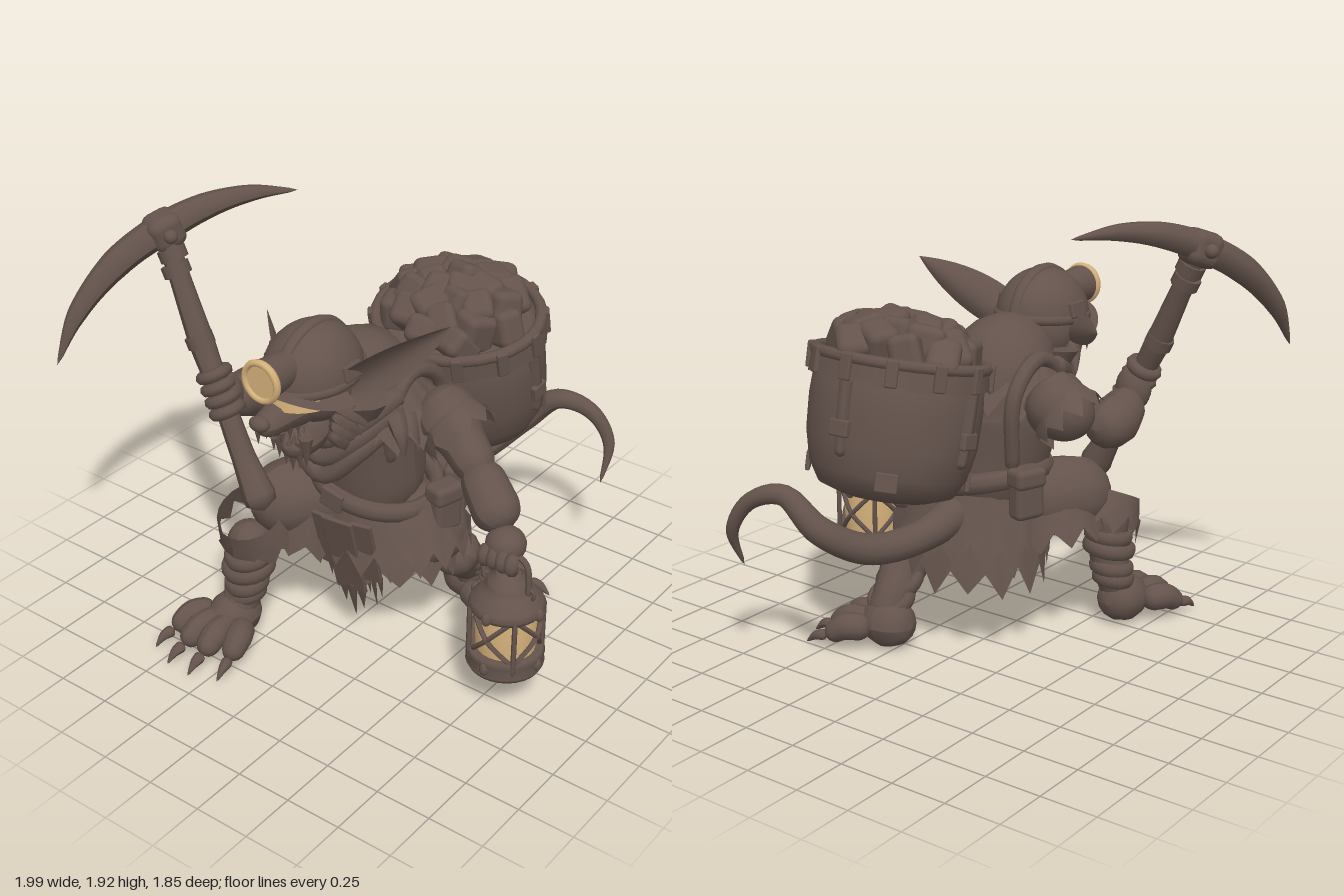
import * as THREE from 'three';
import { RoundedBoxGeometry } from 'three/addons/geometries/RoundedBoxGeometry.js';

const brown = new THREE.MeshStandardMaterial({ color: 0x64534c, side: THREE.DoubleSide });
brown.name = 'dark brown';
const tan = new THREE.MeshStandardMaterial({ color: 0xd4b07a, side: THREE.DoubleSide });
tan.name = 'lamp tan';

let seed = 7;
const rnd = () => (seed = (seed * 16807) % 2147483647) / 2147483647;
const V = (x, y, z) => new THREE.Vector3(x, y, z);

function add(parent, name, geo, pos = [0, 0, 0], rot = [0, 0, 0], scale = [1, 1, 1], mat = brown) {
  const m = new THREE.Mesh(geo, mat);
  m.name = name;
  m.position.set(...pos); m.rotation.set(...rot); m.scale.set(...scale);
  parent.add(m);
  return m;
}
const ball = (p, name, pos, scale) => add(p, name, new THREE.SphereGeometry(1, 20, 14), pos, [0, 0, 0], scale);
const block = (w, h, d) => new RoundedBoxGeometry(w, h, d, 2, Math.min(w, h, d) * 0.3);

// Smooth round-ended limb through points [x, y, z, radius]
function limb(parent, name, pts, sides = 12, seg = 28) {
  const curve = new THREE.CatmullRomCurve3(pts.map(p => V(p[0], p[1], p[2])));
  const geo = new THREE.TubeGeometry(curve, seg, 1, sides), a = geo.attributes.position;
  const len = curve.getLength(), n = pts.length - 1, v = V();
  for (let i = 0; i <= seg; i++) {
    const u = i / seg, c = curve.getPointAt(u), t = curve.getUtoTmapping(u) * n;
    const k = Math.min(n - 1, Math.floor(t));
    let r = THREE.MathUtils.lerp(pts[k][3], pts[k + 1][3], t - k);
    const d = Math.min(u, 1 - u) * len / r;
    if (d < 1) r *= Math.sqrt(Math.max(0, 1 - (1 - d) ** 2));
    for (let j = 0; j <= sides; j++) {
      const q = i * (sides + 1) + j;
      v.fromBufferAttribute(a, q).sub(c).multiplyScalar(r).add(c);
      a.setXYZ(q, v.x, v.y, v.z);
    }
  }
  geo.computeVertexNormals();
  return add(parent, name, geo);
}

// Open cloth ring with a torn lower edge
function ragged(parent, name, rTop, rBot, h, sides, jag, pos, rot, scale) {
  const geo = new THREE.CylinderGeometry(rTop, rBot, h, sides, 3, true), a = geo.attributes.position;
  const drop = Array.from({ length: sides }, (_, i) => (i % 2 ? -1 : 0.6) * jag * (0.4 + 0.6 * rnd()));
  for (let i = 0; i <= sides; i++) {
    const q = 3 * (sides + 1) + i;
    a.setY(q, a.getY(q) + drop[i % sides]);
  }
  geo.computeVertexNormals();
  return add(parent, name, geo, pos, rot, scale);
}

// Cupped, leaf-shaped ear
function ear(parent, name, base, tip, across, cup, width) {
  const geo = new THREE.PlaneGeometry(1, 1, 8, 14), a = geo.attributes.position;
  for (let i = 0; i < a.count; i++) {
    const v = a.getX(i) * 2, u = a.getY(i) + 0.5;
    const w = width * (1 - u) * (0.75 + 1.7 * u);
    const p = base.clone().lerp(tip, u).addScaledVector(across, w * v).addScaledVector(cup, 0.5 * w * v * v);
    a.setXYZ(i, p.x, p.y, p.z);
  }
  geo.computeVertexNormals();
  add(parent, name, geo);
}

// Clawed foot pointing along local +z
function foot(parent, name, pos, turn) {
  const g = new THREE.Group();
  g.name = name; g.position.set(...pos); g.rotation.y = turn;
  limb(g, 'sole', [[0, 0.11, -0.08, 0.1], [0, 0.11, 0.06, 0.11], [0, 0.08, 0.18, 0.08]]);
  for (let k = 0; k < 4; k++) {
    const x = (k - 1.5) * 0.092, z = k % 3 ? 0.02 : -0.03;
    limb(g, 'toe', [[x * 0.6, 0.1, 0.08, 0.06], [x, 0.11, 0.2 + z, 0.06], [x * 1.2, 0.055, 0.29 + z, 0.045]]);
    limb(g, 'claw', [[x * 1.2, 0.06, 0.29 + z, 0.03], [x * 1.3, 0.05, 0.34 + z, 0.022], [x * 1.35, 0.01, 0.39 + z, 0.003]], 8, 10);
  }
  parent.add(g);
}

function buildBody(g) {
  limb(g, 'torso', [[0.03, 0.56, 0.03, 0.22], [0.02, 0.8, 0.08, 0.24], [0, 1.05, 0.11, 0.27], [0, 1.22, 0.12, 0.24], [0, 1.29, 0.4, 0.14]], 18);
  ragged(g, 'fur mantle', 0.15, 0.38, 0.26, 34, 0.08, [0, 1.24, 0.13], [0.15, 0, 0], [1, 1, 0.75]);
  ragged(g, 'hood', 0.15, 0.27, 0.2, 24, 0.02, [0, 1.27, 0.2], [0.5, 0, 0], [1, 1, 0.9]);
  for (const s of [-1, 1])
    for (let k = 0; k < 5; k++)
      limb(g, 'shoulder fur', [[s * 0.24, 1.2 - k * 0.02, 0.22 - k * 0.07, 0.05], [s * 0.31, 1.13, 0.26 - k * 0.07, 0.035], [s * (0.33 + 0.03 * rnd()), 1.03, 0.27 - k * 0.08, 0.003]], 6, 10);
  // Draped neck scarf
  add(g, 'scarf bib', new THREE.ConeGeometry(0.27, 0.42, 16), [0.02, 1.08, 0.31], [Math.PI + 0.1, 0, 0], [1, 1, 0.5]);
  for (let i = 0; i < 3; i++)
    limb(g, 'scarf fold', [[-0.25, 1.27 - i * 0.05, 0.16, 0.045], [-0.15, 1.17 - i * 0.065, 0.36, 0.05], [0.02, 1.08 - i * 0.085, 0.41, 0.045], [0.16, 1.17 - i * 0.065, 0.36, 0.05], [0.25, 1.27 - i * 0.05, 0.16, 0.045]], 8);
  // Slanted belt, pouches and pack straps
  add(g, 'belt', new THREE.TorusGeometry(0.26, 0.035, 8, 32), [0.05, 0.76, 0.08], [Math.PI / 2, -0.2, 0], [1.05, 0.98, 1.3]);
  add(g, 'belt buckle', block(0.11, 0.09, 0.03), [0.03, 0.76, 0.36], [0, 0, -0.2]);
  for (const [x, y, z, r] of [[0.38, 0.7, 0.04, 1.3], [0.34, 0.71, -0.12, 1.9], [-0.28, 0.77, -0.08, -1.9]]) {
    add(g, 'pouch', block(0.14, 0.22, 0.09), [x, y, z], [0, r, 0]);
    add(g, 'pouch flap', block(0.15, 0.09, 0.11), [x, y + 0.07, z], [0, r, 0]);
  }
  for (const s of [-1, 1])
    limb(g, 'pack strap', [[s * 0.22, 0.85, -0.1, 0.03], [s * 0.24, 1.2, -0.11, 0.035], [s * 0.23, 1.31, 0.08, 0.035], [s * 0.24, 1.17, 0.24, 0.028], [s * 0.21, 0.92, 0.2, 0.03]], 8);
  // Torn skirt and loincloth
  ragged(g, 'outer skirt', 0.25, 0.35, 0.24, 34, 0.1, [0.1, 0.61, 0.05], [0, 0, 0.06], [1.05, 1, 0.9]);
  ragged(g, 'inner skirt', 0.22, 0.33, 0.32, 26, 0.1, [0.07, 0.54, 0.02], [0, 0, 0], [1, 1, 0.85]);
  for (const [x, w, h] of [[0.0, 0.1, 0.3], [0.08, 0.15, 0.42], [0.18, 0.1, 0.34]]) {
    add(g, 'loincloth strip', block(w, h, 0.02), [x, 0.7 - h / 2, 0.36 - x * 0.2], [0.25, x, 0]);
    for (const s of [-1, 0, 1])
      add(g, 'loincloth tatter', new THREE.ConeGeometry(w * 0.22, 0.2 - Math.abs(s) * 0.07, 5), [x + s * w * 0.32, 0.64 - h + Math.abs(s) * 0.03, 0.3 - x * 0.2], [Math.PI + 0.2, 0, 0], [1, 1, 0.3]);
  }
  limb(g, 'tail', [[0.04, 0.66, -0.05, 0.09], [0.07, 0.58, -0.35, 0.07], [0.14, 0.59, -0.62, 0.066], [0.25, 0.7, -0.79, 0.06], [0.4, 0.83, -0.83, 0.045], [0.54, 0.79, -0.88, 0.036], [0.63, 0.65, -0.9, 0.028], [0.64, 0.47, -0.83, 0.005]], 14, 50);
}

function buildLimbs(g) {
  // Right leg, forward and bent
  limb(g, 'right thigh', [[-0.08, 0.64, 0.08, 0.18], [-0.23, 0.65, 0.3, 0.17], [-0.32, 0.63, 0.48, 0.15]]);
  ragged(g, 'right trouser hem', 0.15, 0.18, 0.13, 20, 0.07, [-0.32, 0.57, 0.46], [0.45, 0, 0]);
  ragged(g, 'right hip cloth', 0.15, 0.22, 0.2, 20, 0.07, [-0.19, 0.6, 0.24], [0, 0, -0.15]);
  limb(g, 'right shin', [[-0.32, 0.58, 0.5, 0.1], [-0.32, 0.38, 0.5, 0.09], [-0.35, 0.22, 0.51, 0.08], [-0.37, 0.1, 0.58, 0.09]]);
  [[-0.32, 0.42, 0.09], [-0.325, 0.36, 0.1], [-0.34, 0.27, 0.08], [-0.35, 0.22, 0.075]].forEach(([x, y, r]) =>
    add(g, 'shin wrap', new THREE.TorusGeometry(r, 0.022, 8, 20), [x, y, 0.505], [Math.PI / 2 + 0.15, 0.1, 0], [1, 1, 1.6]));
  foot(g, 'right foot', [-0.37, 0, 0.51], -0.05);
  // Left leg, planted behind
  limb(g, 'left thigh', [[0.1, 0.64, 0.02, 0.17], [0.28, 0.54, 0.0, 0.17], [0.35, 0.4, -0.06, 0.14]]);
  limb(g, 'left shin', [[0.34, 0.42, -0.06, 0.13], [0.32, 0.3, -0.18, 0.1], [0.31, 0.2, -0.27, 0.085], [0.33, 0.1, -0.3, 0.1]]);
  for (const t of [0, 1]) add(g, 'ankle wrap', new THREE.TorusGeometry(0.09, 0.022, 8, 20), [0.315, 0.21 + t * 0.07, -0.26 + t * 0.06], [Math.PI / 2 - 0.6, 0, 0], [1, 1, 1.6]);
  foot(g, 'left foot', [0.25, 0, -0.3], Math.PI / 2 + 0.05);
  // Arms and torn sleeves
  limb(g, 'left upper arm', [[0.27, 1.2, 0.05, 0.15], [0.38, 1.12, 0.03, 0.14], [0.47, 1.05, 0.05, 0.1], [0.61, 0.95, 0.1, 0.085]], 14);
  ragged(g, 'left sleeve', 0.1, 0.16, 0.18, 20, 0.05, [0.38, 1.13, 0.03], [0, 0, 0.85]);
  limb(g, 'left bracer', [[0.55, 0.99, 0.07, 0.09], [0.66, 0.91, 0.13, 0.1], [0.78, 0.82, 0.19, 0.11]], 14);
  limb(g, 'right upper arm', [[-0.26, 1.2, 0.03, 0.14], [-0.36, 1.14, 0.02, 0.14], [-0.48, 1.05, 0.1, 0.1]], 14);
  ragged(g, 'right sleeve', 0.1, 0.16, 0.18, 20, 0.05, [-0.36, 1.15, 0.03], [0, 0, -0.8]);
  limb(g, 'right forearm', [[-0.49, 1.04, 0.1, 0.1], [-0.5, 1.05, 0.25, 0.11], [-0.47, 1.11, 0.42, 0.08]], 14);
  // Hands
  ball(g, 'left palm', [0.8, 0.77, 0.21], [0.085, 0.075, 0.085]);
  for (let k = 0; k < 4; k++)
    limb(g, 'left finger', [[0.75 + k * 0.04, 0.78, 0.26, 0.03], [0.75 + k * 0.043, 0.73, 0.295, 0.028], [0.75 + k * 0.04, 0.685, 0.25, 0.024]], 8, 12);
  ball(g, 'right palm', [-0.47, 1.14, 0.44], [0.08, 0.1, 0.07]);
  for (let k = 0; k < 4; k++)
    add(g, 'right finger', new THREE.TorusGeometry(0.055, 0.027, 8, 16), [-0.425 - k * 0.026, 1.09 + k * 0.047, 0.484 - k * 0.005], [Math.PI / 2, 0.5, 0]);
}

function buildHead(g) {
  ball(g, 'skull', [0, 1.35, 0.42], [0.17, 0.17, 0.18]);
  limb(g, 'snout', [[0, 1.3, 0.46, 0.11], [0, 1.29, 0.62, 0.075], [0, 1.28, 0.77, 0.05]]);
  ball(g, 'nose', [0, 1.305, 0.765], [0.045, 0.032, 0.035]);
  limb(g, 'lower jaw', [[0, 1.2, 0.4, 0.11], [0, 1.12, 0.51, 0.08], [0, 1.12, 0.62, 0.045]]);
  // Glowing crescent under the brim
  add(g, 'eye band', new THREE.CylinderGeometry(0.16, 0.165, 0.05, 24, 1, true, -1.05, 2.1), [0.01, 1.355, 0.48], [0, 0, 0], [1, 1, 1.2], tan);
  for (const s of [-1, 1]) {
    for (let k = 0; k < 4; k++) {
      add(g, 'upper tooth', new THREE.ConeGeometry(0.013, 0.06, 6), [s * 0.04, 1.21, 0.58 + k * 0.05], [Math.PI, 0, 0]);
      add(g, 'lower tooth', new THREE.ConeGeometry(0.011, 0.05, 6), [s * 0.035, 1.18, 0.54 + k * 0.03]);
      limb(g, 'cheek fur', [[s * 0.11, 1.31 - k * 0.045, 0.45, 0.05], [s * (0.18 - k * 0.015), 1.25 - k * 0.05, 0.41, 0.035], [s * (0.23 - k * 0.03), 1.18 - k * 0.05, 0.36, 0.003]], 6, 10);
    }
    add(g, 'helmet side plate', block(0.03, 0.07, 0.1), [s * 0.187, 1.45, 0.42], [0, 0, s * 0.2]);
  }
  for (let k = 0; k < 5; k++)
    add(g, 'beard tuft', new THREE.ConeGeometry(0.03, 0.14, 6), [(k - 2) * 0.035, 1.06 + Math.abs(k - 2) * 0.02, 0.57], [Math.PI, 0, 0]);
  ear(g, 'left ear', V(0.13, 1.34, 0.42), V(0.49, 1.64, 0.18), V(0.35, -0.6, -0.5), V(0.5, 0.1, 0.7), 0.125);
  ear(g, 'right ear', V(-0.13, 1.35, 0.42), V(-0.45, 1.43, 0.18), V(-0.3, -0.75, -0.4), V(-0.4, 0.1, 0.7), 0.09);
  // Helmet with ridge, drooping brim and lamp
  add(g, 'helmet dome', new THREE.SphereGeometry(1, 28, 12, 0, Math.PI * 2, 0, Math.PI / 2), [0, 1.4, 0.43], [0.08, 0, 0], [0.195, 0.21, 0.225]);
  add(g, 'helmet band', new THREE.TorusGeometry(1, 0.07, 8, 32), [0, 1.405, 0.43], [Math.PI / 2 + 0.08, 0, 0], [0.19, 0.222, 0.3]);
  const brim = new THREE.RingGeometry(0.85, 1.1, 28, 3, 0, Math.PI), a = brim.attributes.position;
  for (let i = 0; i < a.count; i++) {
    const x = a.getX(i) * 0.2, z = a.getY(i);
    a.setXYZ(i, x, 1.415 - 2 * x * x, 0.43 + z * 0.27);
  }
  brim.computeVertexNormals();
  add(g, 'helmet brim', brim);
  add(g, 'helmet ridge', new THREE.TorusGeometry(1, 0.1, 8, 28, Math.PI), [0, 1.4, 0.43], [0, Math.PI / 2, 0], [0.215, 0.205, 0.3]);
  add(g, 'lamp body', new THREE.CylinderGeometry(0.085, 0.065, 0.18, 24), [0, 1.482, 0.65], [Math.PI / 2, 0, 0]);
  add(g, 'lamp rim', new THREE.TorusGeometry(0.08, 0.014, 8, 28), [0, 1.482, 0.745], [0, 0, 0], [1, 1, 1.2], tan);
  add(g, 'lamp lens', new THREE.CircleGeometry(0.08, 28), [0, 1.482, 0.748], [0, 0, 0], [1, 1, 1], tan);
}

function buildPickaxe(g) {
  limb(g, 'handle', [[-0.8, 1.83, 0.42, 0.045], [-0.69, 1.6, 0.44, 0.045], [-0.57, 1.35, 0.46, 0.055], [-0.45, 1.13, 0.48, 0.045], [-0.33, 0.9, 0.5, 0.052], [-0.25, 0.76, 0.51, 0.07], [-0.21, 0.69, 0.52, 0.085]], 10, 36);
  limb(g, 'pick head', [[-0.965, 1.31, 0.91, 0.004], [-0.95, 1.5, 0.79, 0.04], [-0.885, 1.68, 0.61, 0.062], [-0.79, 1.795, 0.42, 0.068], [-0.7, 1.86, 0.25, 0.055], [-0.6, 1.885, 0.08, 0.035], [-0.49, 1.87, -0.09, 0.004]], 8, 36);
  add(g, 'pick socket', block(0.15, 0.15, 0.15), [-0.785, 1.79, 0.42]).lookAt(-0.695, 1.86, 0.24);
  for (const [x, y, z] of [[-0.735, 1.7, 0.43], [-0.71, 1.64, 0.44], [-0.58, 1.36, 0.46]])
    add(g, 'handle collar', new THREE.CylinderGeometry(0.06, 0.06, 0.05, 10), [x, y, z], [0, 0, 0.45]);
  for (const s of [-1, 1]) ball(g, 'socket rivet', [-0.785 + s * 0.07, 1.79, 0.42 + s * 0.035], [0.03, 0.03, 0.03]);
}

function buildPack(g) {
  g.position.set(0.13, 1.32, -0.4); g.rotation.x = 0.21; g.scale.set(1.06, 1, 0.93);
  const wall = [[0, -0.53], [0.2, -0.53], [0.28, -0.5], [0.325, -0.42], [0.35, -0.3], [0.355, -0.15], [0.345, 0], [0.3, 0.02], [0, 0]].map(p => new THREE.Vector2(...p));
  add(g, 'pack sack', new THREE.LatheGeometry(wall, 32));
  ragged(g, 'pack rim', 0.362, 0.37, 0.1, 30, 0.015, [0, 0, 0]);
  add(g, 'rim roll', new THREE.TorusGeometry(0.35, 0.025, 8, 32), [0, 0.04, 0], [Math.PI / 2, 0, 0]);
  for (let i = 0; i < 12; i++) {
    const a = i * Math.PI / 6;
    add(g, 'rim tab', block(0.05, 0.11, 0.025), [0.37 * Math.sin(a), 0.005, 0.37 * Math.cos(a)], [0, a, 0]);
  }
  for (const t of [Math.PI / 2, Math.PI, -Math.PI / 2]) {
    const s = Math.sin(t), c = Math.cos(t);
    limb(g, 'pack strap', [[s * 0.355, 0, c * 0.355, 0.03], [s * 0.35, -0.2, c * 0.35, 0.03], [s * 0.34, -0.36, c * 0.34, 0.025]], 6);
    add(g, 'strap buckle', block(0.09, 0.07, 0.03), [s * 0.365, -0.24, c * 0.365], [0, t, 0]);
    add(g, 'bottom patch', block(0.09, 0.08, 0.02), [Math.sin(t + 0.6) * 0.325, -0.43, Math.cos(t + 0.6) * 0.325], [0, t + 0.6, 0]);
  }
  // Heap of large ore lumps with softened corners
  for (let i = 0; i < 26; i++) {
    const q = Math.sqrt((i + 0.3) / 26), a = i * 2.4, r = 0.1 + 0.015 * rnd();
    add(g, 'ore lump', new RoundedBoxGeometry(r * 1.45, r * 1.6, r * 1.25, 2, r * 0.35), [0.27 * q * Math.cos(a), 0.055 + 0.1 * (1 - q * q), 0.27 * q * Math.sin(a)],
      [0.5 * q * Math.sin(a) + rnd() * 0.8 - 0.4, rnd() * 3, 0.9 * (rnd() - 0.5) - 0.5 * q * Math.cos(a)]);
  }
}

function buildLantern(g) {
  g.position.set(0.825, 0.2, 0.22);
  const lathe = (name, pts, mat) => add(g, name, new THREE.LatheGeometry(pts.map(p => new THREE.Vector2(...p)), 28), undefined, undefined, undefined, mat);
  lathe('lantern base', [[0, 0], [0.155, 0], [0.165, 0.02], [0.15, 0.045], [0.165, 0.07], [0.155, 0.09], [0, 0.09]]);
  lathe('lantern glass', [[0.125, 0.09], [0.13, 0.19], [0.12, 0.3]], tan);
  lathe('lantern roof', [[0, 0.28], [0.15, 0.28], [0.16, 0.3], [0.15, 0.325], [0.11, 0.37], [0.085, 0.39], [0.085, 0.42], [0.05, 0.43], [0.05, 0.45], [0, 0.455]]);
  const on = (a, y, r) => [r * Math.sin(a), y, r * Math.cos(a), 0.011];
  for (let k = 0; k < 4; k++) {
    const a = k * Math.PI / 2, b = a + Math.PI / 4;
    limb(g, 'cage post', [on(b, 0.02, 0.155), on(b, 0.32, 0.155)], 6, 8);
    for (const s of [-1, 1])
      limb(g, 'cage cross bar', [on(a - s * 0.75, 0.08, 0.145), on(a, 0.19, 0.147), on(a + s * 0.75, 0.3, 0.145)], 6, 14);
    for (const y of [0.05, 0.3]) ball(g, 'cage stud', on(a, y, 0.155).slice(0, 3), [0.02, 0.03, 0.02]);
  }
  limb(g, 'lantern bail', [[-0.11, 0.36, 0, 0.013], [-0.12, 0.5, 0, 0.013], [-0.02, 0.55, 0, 0.013], [0.08, 0.52, 0, 0.013], [0.1, 0.36, 0, 0.013]], 8);
  for (const x of [-0.11, 0.1]) add(g, 'bail ring', new THREE.TorusGeometry(0.025, 0.009, 6, 16), [x, 0.38, 0]);
}

export function createModel() {
  const model = new THREE.Group();
  model.name = 'rat miner';
  const parts = { body: buildBody, limbs: buildLimbs, head: buildHead, pickaxe: buildPickaxe, orePack: buildPack, lantern: buildLantern };
  for (const [name, build] of Object.entries(parts)) {
    const g = new THREE.Group();
    g.name = name;
    build(g);
    model.add(g);
  }
  return model;
}
